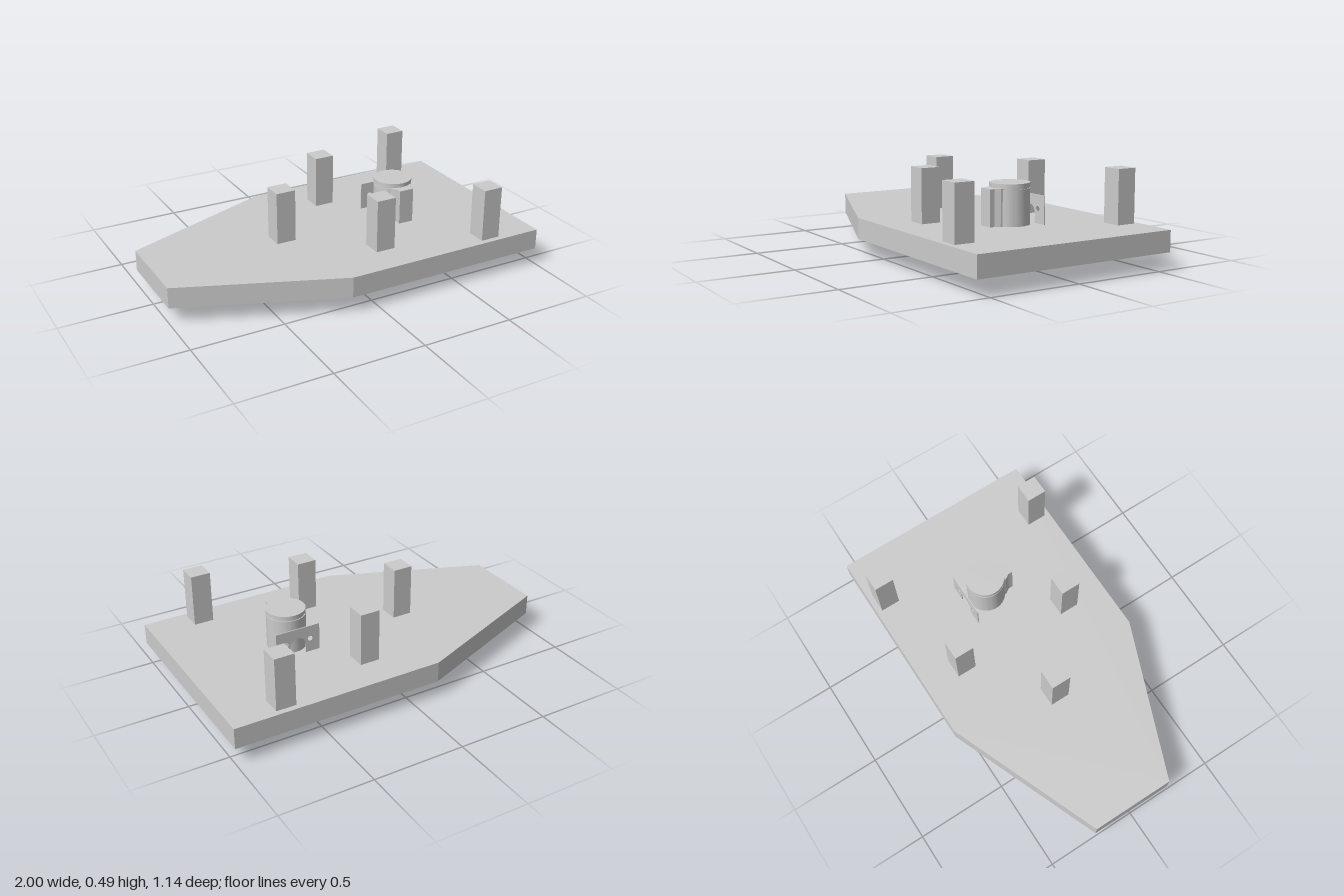
import * as THREE from 'three';
import { toCreasedNormals } from 'three/addons/utils/BufferGeometryUtils.js';

const grey = new THREE.MeshStandardMaterial({ color: 0xcccccc });
const pale = new THREE.MeshStandardMaterial({ color: 0xdcf0f0 });
const BASE = 0.09, DECK = 0.203, CX = 0.427;

function add(parent, name, geometry, material = grey, x = 0, y = 0, z = 0) {
  const mesh = new THREE.Mesh(geometry, material);
  mesh.name = name;
  mesh.position.set(x, y, z);
  parent.add(mesh);
  return mesh;
}

const points = (list) => list.map(([a, b]) => new THREE.Vector2(a, b));

// Lathe with crisp edges; profile is [radius, y] from bottom to top on the outside
const lathe = (profile) =>
  toCreasedNormals(new THREE.LatheGeometry(points(profile), 64), 0.6);

// Upright prism from a plan outline given as [x, z]
function prism(outline, height) {
  const shape = new THREE.Shape(points(outline.map(([x, z]) => [x, -z])));
  const geometry = new THREE.ExtrudeGeometry(shape, { depth: height, bevelEnabled: false });
  return geometry.rotateX(-Math.PI / 2);
}

export function createModel() {
  const model = new THREE.Group();

  // Deck tapering to a blunt nose
  add(model, 'deck', prism([
    [-1, 0.23], [-0.15, 0.57], [1, 0.57], [1, -0.57], [-0.15, -0.57], [-1, -0.23],
  ], DECK - BASE), grey, 0, BASE);

  // Square posts
  const postHeight = 0.49 - DECK;
  for (const [x, z] of [[-0.26, 0], [0.15, 0.333], [0.15, -0.333], [0.71, 0.485], [0.71, -0.485]]) {
    add(model, 'post', new THREE.BoxGeometry(0.108, postHeight, 0.108), grey, x, DECK + postHeight / 2, z);
  }

  // Motor with a grooved cap and a terminal block on its front
  const motor = new THREE.Group();
  motor.name = 'motor';
  motor.position.set(CX, DECK, 0);
  model.add(motor);
  add(motor, 'motorCan', lathe([
    [0, 0], [0.104, 0], [0.104, 0.187], [0.099, 0.187], [0.099, 0.194],
    [0.104, 0.194], [0.104, 0.216], [0, 0.216],
  ]));
  add(motor, 'terminalBlock', prism([
    [-0.062, 0.07], [-0.06, 0.095], [-0.042, 0.122], [-0.042, 0.147],
    [0.042, 0.147], [0.042, 0.122], [0.06, 0.095], [0.062, 0.07],
  ], 0.192));

  // Thin bracket behind the motor: arch in the middle, a screw hole each side
  const plate = new THREE.Shape();
  plate.moveTo(-0.125, 0).lineTo(-0.045, 0).lineTo(-0.045, 0.05);
  plate.absarc(0, 0.05, 0.045, Math.PI, 0, true);
  plate.lineTo(0.045, 0).lineTo(0.125, 0).lineTo(0.125, 0.149).lineTo(-0.125, 0.149);
  for (const side of [-1, 1]) {
    plate.holes.push(new THREE.Path().absarc(side * 0.07, 0.075, 0.014, 0, Math.PI * 2, true));
  }
  add(motor, 'bracket', new THREE.ExtrudeGeometry(plate, {
    depth: 0.005, bevelEnabled: false, curveSegments: 20,
  }), grey, 0, 0, -0.131);

  // Horizontal wheel below the deck
  const wheel = new THREE.Group();
  wheel.name = 'wheel';
  wheel.position.set(CX, 0, 0);
  model.add(wheel);
  add(wheel, 'tyre', lathe([
    [0.22, BASE], [0.22, 0.01], [0.25, 0.01], [0.25, 0.013], [0.279, 0.013], [0.279, BASE], [0.22, BASE],
  ]));
  add(wheel, 'rim', lathe([
    [0.213, 0.072], [0.213, 0.01], [0.22, 0.01], [0.22, BASE - 0.001], [0, BASE - 0.001],
  ]), pale);

  // Wheel disc with a ring of small holes
  const disc = new THREE.Shape().absarc(0, 0, 0.213, 0, Math.PI * 2);
  for (let i = 0; i < 6; i++) {
    const a = (i * Math.PI) / 3;
    disc.holes.push(new THREE.Path().absarc(Math.cos(a) * 0.145, Math.sin(a) * 0.145, 0.009, 0, Math.PI * 2, true));
  }
  const discGeometry = new THREE.ExtrudeGeometry(disc, { depth: 0.012, bevelEnabled: false, curveSegments: 32 });
  add(wheel, 'wheelDisc', discGeometry.rotateX(-Math.PI / 2), pale, 0, 0.072);

  // Hub with bore, and the shaft end inside it
  add(wheel, 'hub', lathe([
    [0.035, 0.072], [0.035, 0], [0.075, 0], [0.075, 0.072],
  ]), pale);
  add(wheel, 'shaft', new THREE.CylinderGeometry(0.03, 0.03, 0.05, 32), pale, 0, 0.047);

  return model;
}
